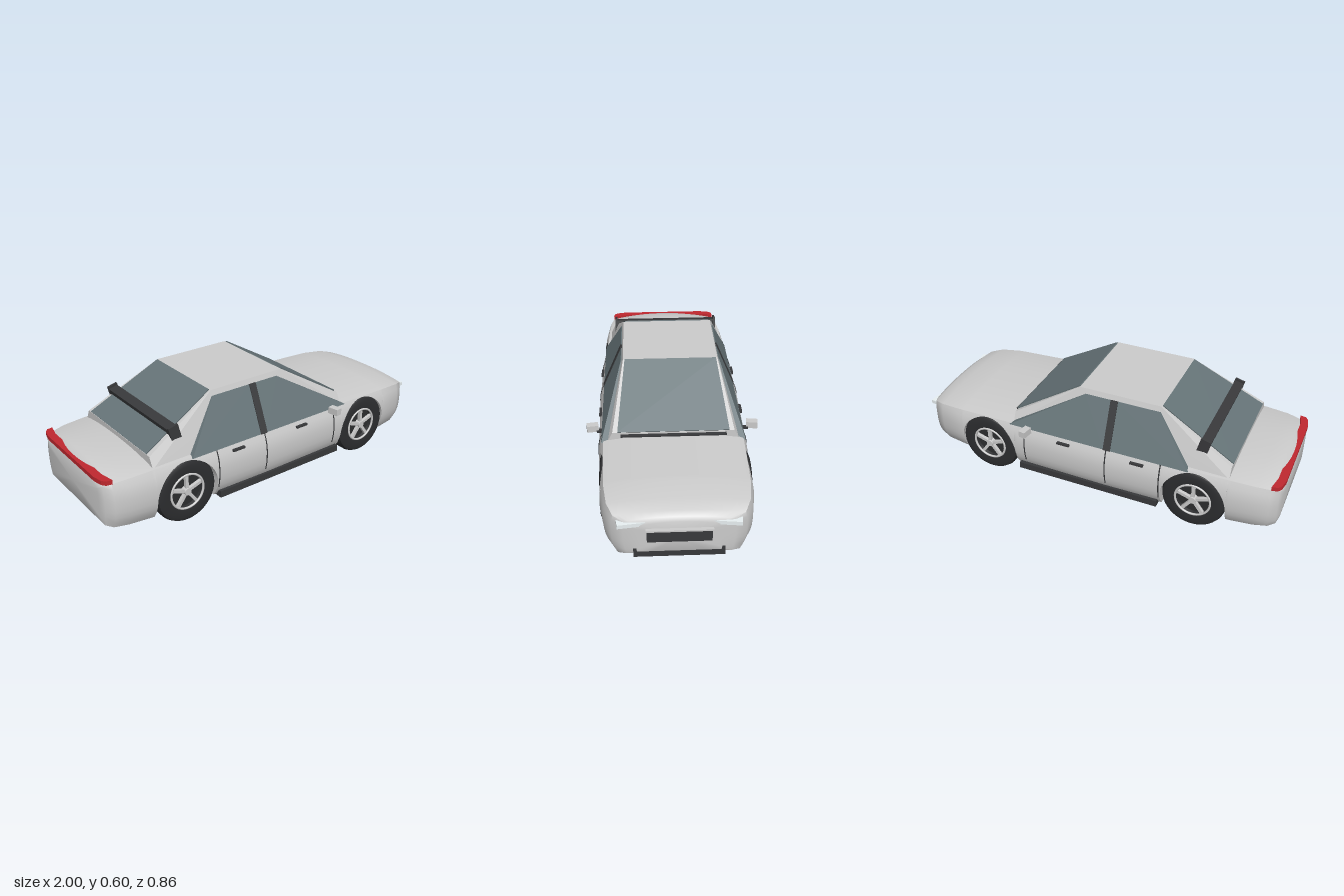
import * as THREE from 'three';
import { toCreasedNormals } from 'three/addons/utils/BufferGeometryUtils.js';
import { ConvexGeometry } from 'three/addons/geometries/ConvexGeometry.js';

const mat = (color) => new THREE.MeshStandardMaterial({ color, side: THREE.DoubleSide });
const paint = mat(0xcccccc), glass = mat(0x667478), dark = mat(0x38393b), tyreMat = mat(0x2c2d2f);
const red = mat(0xc0282f), lamp = mat(0xe8f0f2), rimMat = mat(0xd8d8d8);

const WHEEL_X = [-0.58, 0.575], WHEEL_Y = 0.16, ARCH_R = 0.166;

// body stations: x, half width, bottom, shoulder height, crown height
const rows = [
  [-0.996, 0.26, 0.12, 0.29, 0.325], [-0.985, 0.3, 0.1, 0.31, 0.343], [-0.95, 0.33, 0.085, 0.322, 0.355],
  [-0.88, 0.35, 0.08, 0.33, 0.363], [-0.76, 0.363, 0.072, 0.335, 0.362], [-0.4, 0.375, 0.07, 0.335, 0.36],
  [-0.1, 0.38, 0.07, 0.335, 0.36], [0.39, 0.373, 0.07, 0.335, 0.362], [0.76, 0.358, 0.07, 0.325, 0.35],
  [0.88, 0.337, 0.075, 0.315, 0.334], [0.945, 0.302, 0.085, 0.3, 0.319], [0.97, 0.25, 0.1, 0.285, 0.305],
  [0.98, 0.18, 0.12, 0.265, 0.285],
];

function stationAt(x) {
  let i = 0;
  while (i < rows.length - 2 && x > rows[i + 1][0]) i++;
  const t = THREE.MathUtils.clamp((x - rows[i][0]) / (rows[i + 1][0] - rows[i][0]), 0, 1);
  return rows[i].map((v, k) => v + (rows[i + 1][k] - v) * t);
}

// half width of the body side at a given height
function sideZ(x, y) {
  const d = y - 0.23;
  return stationAt(x)[1] * (d > 0 ? 1 - 0.07 * (d / 0.105) ** 2 : 1 - 0.12 * (-d / 0.16) ** 3);
}

// closed cross-section; inside an arch the lower edge rises to archY
function section(x, archY) {
  const [, , bottom, shoulder, crown] = stationAt(x);
  const low = Math.max(bottom, archY);
  const zin = Math.min(0.2, sideZ(x, low) * 0.7);
  const half = [[0, bottom], [zin, bottom], [zin, low]];
  for (let k = 0; k <= 8; k++) {
    const y = low + (shoulder - low) * k / 8;
    half.push([sideZ(x, y), y]);
  }
  const zs = sideZ(x, shoulder);
  for (let k = 1; k <= 8; k++) {
    const u = Math.cos(k / 8 * Math.PI / 2);
    half.push([zs * u, shoulder + (crown - shoulder) * (1 - u ** 2.4)]);
  }
  const mirror = half.slice(1, -1).reverse().map(([z, y]) => [-z, y]);
  return half.concat(mirror).map(([z, y]) => [x, y, z]);
}

function bodyGeometry() {
  const stations = rows.map((r) => [r[0], 0]);
  for (const cx of WHEEL_X) {
    stations.push([cx - ARCH_R - 0.001, 0], [cx + ARCH_R + 0.001, 0]);
    for (let k = 0; k <= 20; k++) {
      const a = Math.PI * k / 20;
      stations.push([cx - ARCH_R * Math.cos(a), WHEEL_Y + ARCH_R * Math.sin(a)]);
    }
  }
  stations.sort((a, b) => a[0] - b[0]);
  const rings = stations.map(([x, y]) => section(x, y));
  const n = rings[0].length, last = rings.length - 1;
  const pos = rings.flat(2), idx = [];
  for (let i = 0; i < last; i++) for (let j = 0; j < n; j++) {
    const a = i * n + j, b = i * n + (j + 1) % n;
    idx.push(a, a + n, b, b, a + n, b + n);
  }
  // end caps
  pos.push(rows[0][0] - 0.003, 0.21, 0, rows[rows.length - 1][0] + 0.003, 0.2, 0);
  const c = rings.length * n;
  for (let j = 0; j < n; j++) {
    const k = (j + 1) % n;
    idx.push(c, j, k, c + 1, last * n + k, last * n + j);
  }
  const g = new THREE.BufferGeometry();
  g.setAttribute('position', new THREE.Float32BufferAttribute(pos, 3));
  g.setIndex(idx);
  return toCreasedNormals(g, 0.85);
}

export function createModel() {
  const car = new THREE.Group();
  car.name = 'car';
  const add = (name, geometry, material, parent = car) => {
    const m = new THREE.Mesh(geometry, material);
    m.name = name;
    parent.add(m);
    return m;
  };
  const box = (name, x, y, z, w, h, d, material, parent) => {
    const m = add(name, new THREE.BoxGeometry(w, h, d), material, parent);
    m.position.set(x, y, z);
    return m;
  };
  const hull = (name, points, material) =>
    add(name, new ConvexGeometry(points.map((p) => new THREE.Vector3(...p))), material);
  const bothSides = (points) => points.flatMap(([x, y, z]) => [[x, y, z], [x, y, -z]]);

  add('body', bodyGeometry(), paint);

  // cabin with sloping front and rear glass
  hull('cabin', bothSides([[0.43, 0.33, 0.325], [0.43, 0.38, 0.3], [0.075, 0.592, 0.243],
    [-0.36, 0.592, 0.243], [-0.745, 0.385, 0.3], [-0.745, 0.33, 0.328]]), paint);
  hull('windshield', bothSides([[0.434, 0.386, 0.275], [0.08, 0.596, 0.235], [0.42, 0.37, 0.27], [0.07, 0.58, 0.23]]), glass);
  hull('rearWindow', bothSides([[-0.747, 0.39, 0.275], [-0.364, 0.596, 0.235], [-0.735, 0.375, 0.27], [-0.36, 0.58, 0.23]]), glass);
  box('cowlVent', 0.437, 0.367, 0, 0.02, 0.008, 0.52, dark);

  // flat panels leaning inwards with the cabin sides
  const sidePanel = (name, outline, s, lift, material) => hull(name, outline.flatMap(([x, y]) => {
    const z = 0.356 - (y - 0.33) / 0.235 * 0.1 + lift;
    return [[x, y, s * z], [x, y, s * (z - 0.03)]];
  }), material);

  for (const s of [1, -1]) {
    const side = s > 0 ? 'left' : 'right';
    sidePanel(side + 'RearSideWindow', [[-0.545, 0.33], [-0.36, 0.565], [-0.135, 0.565], [-0.135, 0.33]], s, 0, glass);
    sidePanel(side + 'FrontSideWindow', [[-0.1, 0.33], [-0.1, 0.565], [0.04, 0.565], [0.44, 0.33]], s, 0, glass);
    sidePanel(side + 'DoorPillar', [[-0.137, 0.33], [-0.137, 0.566], [-0.098, 0.566], [-0.098, 0.33]], s, 0.004, dark);

    // door seams follow the curve of the side
    for (const x of [-0.405, -0.115, 0.35]) {
      const points = [0.13, 0.18, 0.23, 0.28, 0.33].map((y) => new THREE.Vector3(x, y, s * sideZ(x, y)));
      add(side + 'DoorSeam', new THREE.TubeGeometry(new THREE.CatmullRomCurve3(points), 12, 0.0035, 5), dark);
    }
    for (const x of [-0.285, 0.12]) box(side + 'DoorHandle', x, 0.304, s * 0.367, 0.07, 0.01, 0.018, dark);
    box(side + 'Sill', -0.003, 0.082, s * 0.345, 0.785, 0.036, 0.046, dark);

    // door mirror
    box(side + 'MirrorArm', 0.33, 0.328, s * 0.358, 0.02, 0.012, 0.045, dark);
    box(side + 'Mirror', 0.321, 0.343, s * 0.401, 0.036, 0.035, 0.058, paint).rotation.y = s * 0.15;

    box(side + 'Headlight', 0.963, 0.272, s * 0.212, 0.042, 0.02, 0.13, lamp).rotation.y = s * 0.12;
    box(side + 'SpoilerEnd', -0.598, 0.455, s * 0.29, 0.054, 0.084, 0.012, dark).rotation.z = 0.25;
  }

  // spoiler blade
  box('spoilerBlade', -0.602, 0.468, 0, 0.05, 0.035, 0.57, dark).rotation.z = 0.25;

  // nose and tail trim
  box('grille', 0.97, 0.209, 0, 0.04, 0.06, 0.29, dark);
  box('grilleTrim', 0.977, 0.246, 0, 0.042, 0.008, 0.3, rimMat);
  box('frontLowerIntake', 0.955, 0.109, 0, 0.045, 0.05, 0.412, dark);
  box('rearLowerTrim', -0.945, 0.096, 0, 0.04, 0.022, 0.5, dark);

  // tail light strip wrapping round both rear corners
  const plan = [[-0.945, 0.315], [-0.975, 0.31], [-0.99, 0.29], [-1, 0.24]];
  const outline = [...plan, ...plan.slice().reverse().map(([x, z]) => [x, -z]), [-0.96, -0.24], [-0.96, 0.24]];
  const strip = new THREE.ExtrudeGeometry(new THREE.Shape(outline.map((p) => new THREE.Vector2(...p))),
    { depth: 0.022, bevelEnabled: false });
  add('tailLight', strip.rotateX(-Math.PI / 2), red).position.y = 0.322;

  // wheels: turned tyre, rim ring, hub and five spokes
  const tyreProfile = [[0.096, -0.07], [0.14, -0.075], [0.157, -0.068], [0.165, -0.05], [0.165, 0.05],
    [0.157, 0.068], [0.14, 0.075], [0.096, 0.07], [0.09, 0.045], [0, 0.045]];
  const tyre = toCreasedNormals(new THREE.LatheGeometry(tyreProfile.map((p) => new THREE.Vector2(...p)), 40)
    .rotateX(Math.PI / 2), 0.7);
  for (const x of WHEEL_X) for (const s of [1, -1]) {
    const wheel = new THREE.Group();
    wheel.name = (x > 0 ? 'front' : 'rear') + (s > 0 ? 'Left' : 'Right') + 'Wheel';
    wheel.position.set(x, 0.165, s * 0.285);
    if (s < 0) wheel.rotation.y = Math.PI;
    car.add(wheel);
    add('tyre', tyre, tyreMat, wheel);
    add('innerFace', new THREE.CircleGeometry(0.1, 32), dark, wheel).position.z = -0.069;
    add('rim', new THREE.TorusGeometry(0.091, 0.006, 8, 40), rimMat, wheel).position.z = 0.07;
    const hub = add('hub', new THREE.CylinderGeometry(0.018, 0.022, 0.03, 20), rimMat, wheel);
    hub.rotation.x = Math.PI / 2;
    hub.position.z = 0.062;
    for (let k = 0; k < 5; k++) {
      const a = Math.PI / 2 + k * Math.PI * 2 / 5;
      box('spoke', 0.05 * Math.cos(a), 0.05 * Math.sin(a), 0.061, 0.08, 0.016, 0.018, rimMat, wheel).rotation.z = a;
    }
  }
  return car;
}
